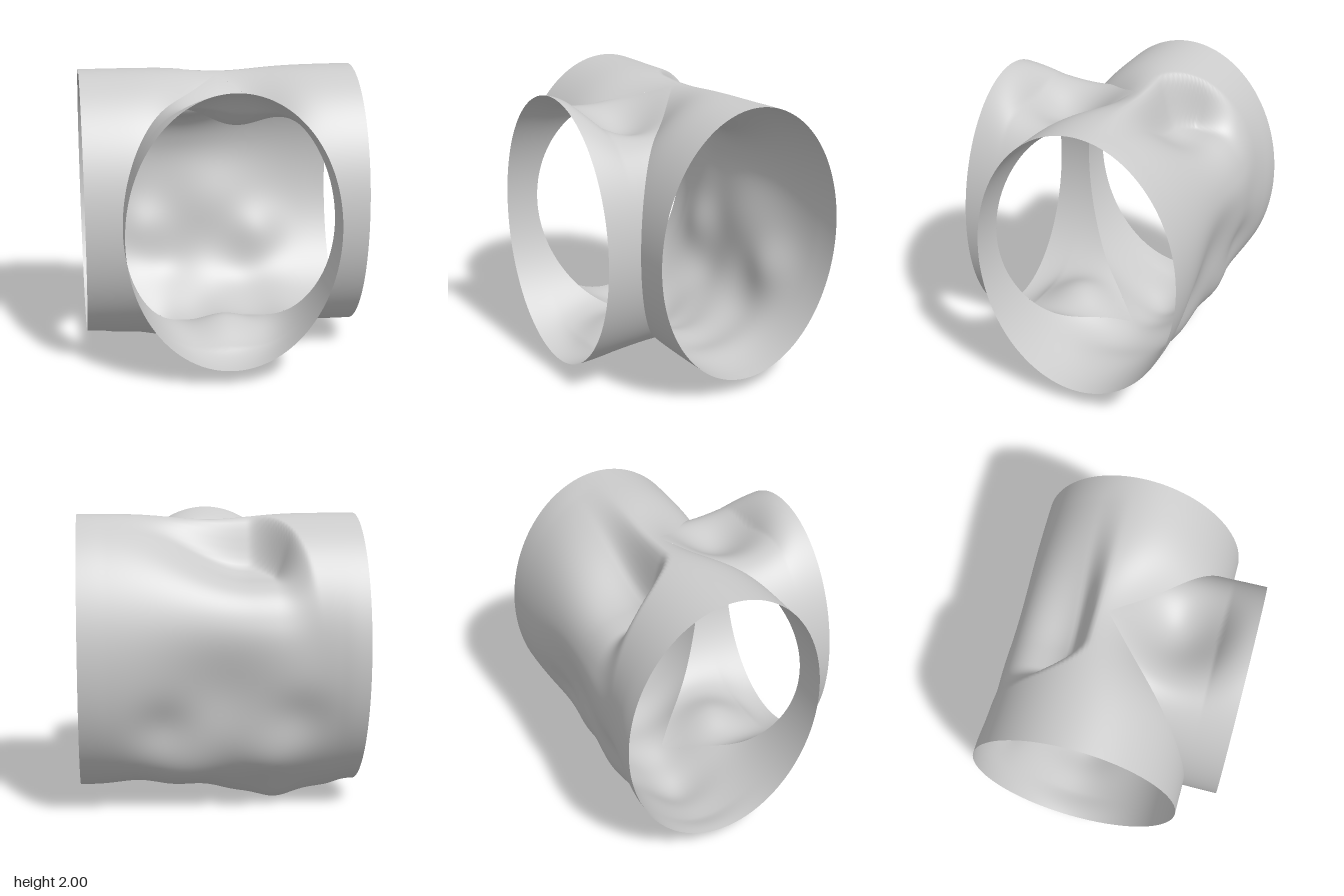
import * as THREE from 'three';
import { mergeGeometries, mergeVertices } from 'three/addons/utils/BufferGeometryUtils.js';

const CY = 1.055, CZ = -0.12, RY = 0.945, R = 0.715; // shared ellipse
const HALF = 0.96, FRONT = 0.835;
const { smoothstep, lerp, clamp } = THREE.MathUtils;

// Soft dents and bulges: centre, spread, push
const dents = [
  { c: [0.05, 1.9, 0.35], s: [0.23, 0.5, 0.25], d: [0, -0.31, 0] },      // top of branch
  { c: [0, 0.15, 0.31], s: [0.19, 0.4, 0.22], d: [0, 0.2, 0] },          // underside of branch
  { c: [-0.4, 0.1, -0.22], s: [0.13, 0.3, 0.17], d: [0, -0.11, 0] },     // underside bulges
  { c: [-0.7, 0.13, -0.2], s: [0.15, 0.3, 0.2], d: [0, -0.045, 0] },
  { c: [-0.12, 0.12, -0.22], s: [0.13, 0.3, 0.2], d: [0, -0.06, 0] },
  { c: [0.3, 0.12, -0.2], s: [0.12, 0.2, 0.2], d: [0, -0.015, 0] },
  { c: [0.55, 0.12, -0.15], s: [0.12, 0.3, 0.2], d: [0, 0.03, 0] },
  { c: [0.25, 0.3, -0.55], s: [0.17, 0.16, 0.16], d: [0, -0.03, -0.025] }, // lower back lumps
  { c: [-0.3, 0.4, -0.62], s: [0.15, 0.14, 0.16], d: [0, -0.03, -0.025] },
  { c: [0.05, 0.86, -0.8], s: [0.3, 0.24, 0.25], d: [0, 0, 0.1] },       // back hollows
  { c: [0.4, 0.6, -0.75], s: [0.15, 0.14, 0.25], d: [0, 0.01, 0.06] },
  { c: [-0.5, 0.66, -0.76], s: [0.15, 0.14, 0.25], d: [0, 0.01, 0.05] },
  { c: [-0.6, 1.05, -0.83], s: [0.15, 0.3, 0.25], d: [0, 0, 0.03] },
];

function deform(p) {
  const q = p.toArray();
  // Rims stay true
  const hold = smoothstep(HALF - Math.abs(p.x), 0, 0.2) * clamp((FRONT - p.z) / 0.22, 0, 1);
  for (const { c, s, d } of dents) {
    const e = q.reduce((sum, v, i) => sum + ((v - c[i]) / s[i]) ** 2, 0);
    p.addScaledVector(new THREE.Vector3(...d), hold * Math.exp(-e / 2));
  }
  // Hollow with a curved lip on the upper back, fading to the right and down
  const [x, y, z] = q;
  const lip = -0.18 - 3.2 * Math.min(0, x + 0.2) ** 2;
  const width = 0.19 + Math.max(0, -z - 0.45);
  const fade = Math.exp(-((Math.min(0, z + 0.4) / 0.21) ** 2 + (Math.max(0, x + 0.2) / 0.38) ** 2) / 2);
  const f = hold * smoothstep(y, 1.05, 1.4) * smoothstep(lip - z, 0, width) * fade;
  p.y -= 0.31 * f;
  p.z += 0.04 * f;
  return p;
}

// Bent sheet: rule(u, v) gives a point of the undented pipe
function sheet(nu, nv, rule) {
  const g = new THREE.PlaneGeometry(1, 1, nu, nv);
  const pos = g.attributes.position;
  for (let i = 0; i < pos.count; i++) {
    const p = deform(rule(pos.getX(i) + 0.5, pos.getY(i) + 0.5));
    pos.setXYZ(i, p.x, p.y, p.z);
  }
  g.deleteAttribute('uv');
  g.deleteAttribute('normal');
  return g;
}

export function createModel() {
  const group = new THREE.Group();
  const material = new THREE.MeshStandardMaterial({ color: 0xcccccc, side: THREE.DoubleSide });
  const add = (name, geometry) => {
    const g = mergeVertices(geometry, 1e-4);
    g.computeVertexNormals();
    const mesh = new THREE.Mesh(g, material);
    mesh.name = name;
    group.add(mesh);
  };

  // Cross pipe: two halves joined at the back, cut at the front along the mitre
  const halfPipe = (side) => sheet(64, 180, (u, v) => {
    const a = v * Math.PI * 2 - Math.PI / 2;
    const z = R * Math.cos(a);
    const t = side > 0 ? u : 1 - u; // keeps both halves facing outward
    return new THREE.Vector3(side * lerp(Math.max(0, z), HALF, t), CY + RY * Math.sin(a), CZ + z);
  });
  add('crossPipe', mergeGeometries([halfPipe(-1), halfPipe(1)]));

  // Branch pipe, from the mitre to its front rim
  add('branchPipe', sheet(56, 192, (u, v) => {
    const a = (v - 0.5) * Math.PI * 2;
    const x = R * Math.sin(a);
    return new THREE.Vector3(x, CY + RY * Math.cos(a), lerp(CZ + Math.abs(x), FRONT, u));
  }));
  return group;
}
